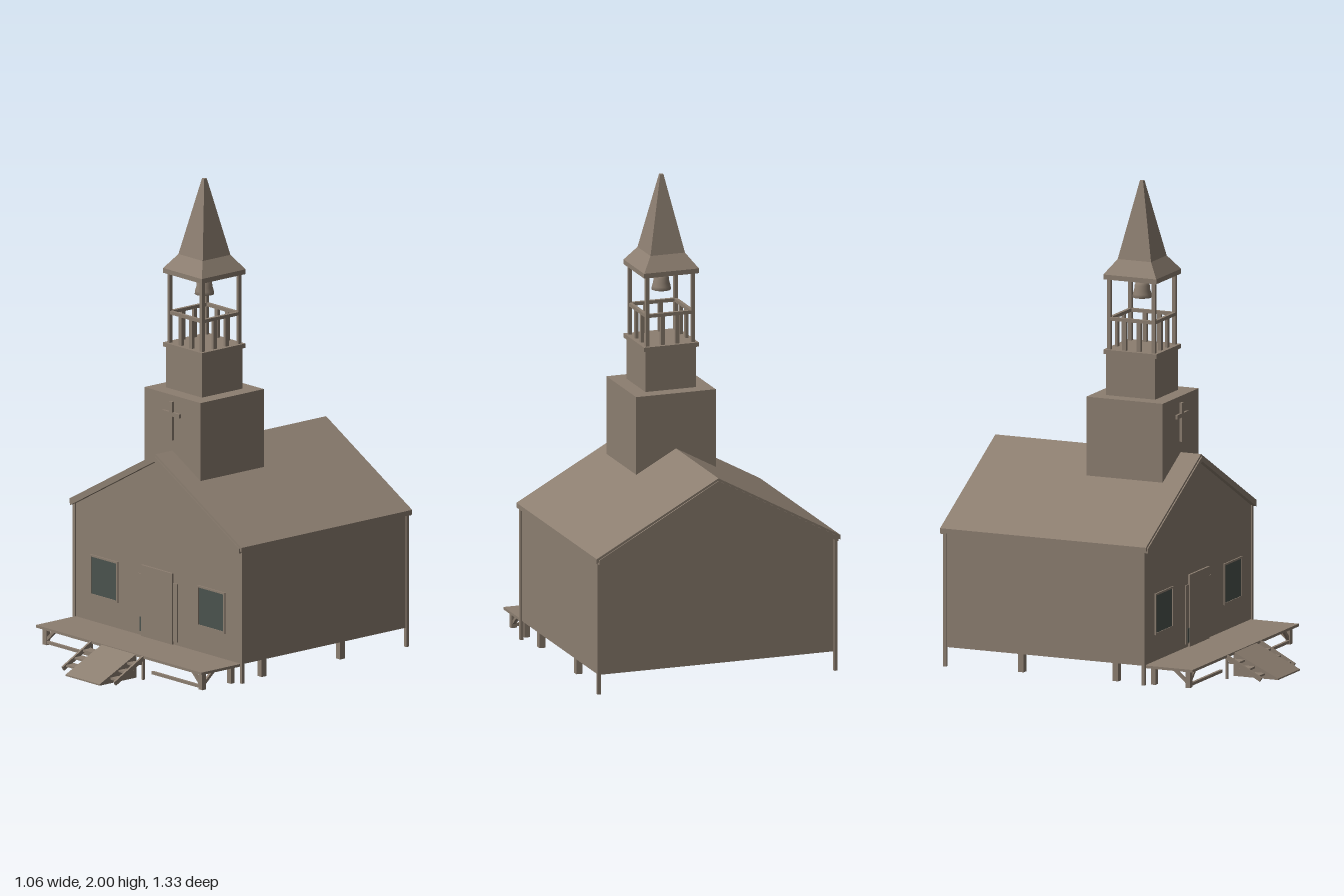
import * as THREE from 'three';

export function createModel() {
  const wood = new THREE.MeshStandardMaterial({ color: 0x8c7e70 });
  wood.name = 'weathered wood';
  const glass = new THREE.MeshStandardMaterial({ color: 0x4a524d });
  glass.name = 'dark glass';
  const model = new THREE.Group();
  model.name = 'chapel';

  const add = (name, geo, mat = wood) => {
    const m = new THREE.Mesh(geo, mat);
    m.name = name;
    model.add(m);
    return m;
  };
  // Box given by its limits on each axis
  const box = (name, x0, x1, y0, y1, z0, z1, mat) => {
    const m = add(name, new THREE.BoxGeometry(x1 - x0, y1 - y0, z1 - z0), mat);
    m.position.set((x0 + x1) / 2, (y0 + y1) / 2, (z0 + z1) / 2);
    return m;
  };
  // Square bar between two points
  const bar = (name, a, b, w, h = w) => {
    const p = new THREE.Vector3(...a), q = new THREE.Vector3(...b);
    const m = add(name, new THREE.BoxGeometry(w, h, p.distanceTo(q)));
    m.position.copy(p).add(q).multiplyScalar(0.5);
    m.lookAt(q);
    return m;
  };
  // Outline in the x-y plane, extruded from z0 to z1
  const prism = (name, pts, z0, z1) => {
    const shape = new THREE.Shape(pts.map(p => new THREE.Vector2(...p)));
    const geo = new THREE.ExtrudeGeometry(shape, { depth: z1 - z0, bevelEnabled: false });
    geo.translate(0, 0, z0);
    return add(name, geo);
  };

  // Hall with gabled ends
  prism('hall', [[-0.515, 0.1], [0.515, 0.1], [0.515, 0.575], [0, 0.86], [-0.515, 0.575]], -0.64, 0.25);

  // Roof slabs and gable trim
  const slope = [[-0.53, 0.575], [0, 0.865], [0.53, 0.575], [0.53, 0.595], [0, 0.885], [-0.53, 0.595]];
  prism('roof', slope, -0.66, 0.265);
  const trim = [[-0.52, 0.57], [0, 0.855], [0.52, 0.57], [0.52, 0.59], [0, 0.875], [-0.52, 0.59]];
  prism('frontGableTrim', trim, 0.25, 0.27);
  prism('backGableTrim', trim, -0.665, -0.64);

  // Corner posts and foundation piers
  for (const s of [-1, 1]) {
    for (const z of [-0.643, 0.248]) {
      box('cornerPost', s * 0.515 - 0.007, s * 0.515 + 0.007, 0.02, 0.58, z - 0.007, z + 0.007);
    }
    for (const z of [0.11, -0.315]) {
      box('pier', s * 0.48 - 0.013, s * 0.48 + 0.013, 0.02, 0.1, z - 0.013, z + 0.013);
    }
  }

  // Windows with thin frames
  for (const s of [-1, 1]) {
    const x = s * 0.33;
    box('window', x - 0.08, x + 0.08, 0.215, 0.375, 0.248, 0.253, glass);
    for (const d of [-1, 1]) {
      box('windowSideFrame', x + d * 0.081 - 0.004, x + d * 0.081 + 0.004, 0.21, 0.38, 0.248, 0.256);
      box('windowCrossFrame', x - 0.085, x + 0.085, 0.295 + d * 0.082 - 0.004, 0.295 + d * 0.082 + 0.004, 0.248, 0.256);
    }
  }

  // Door with side panels
  box('doorSurround', -0.122, 0.122, 0.115, 0.36, 0.248, 0.255);
  box('door', -0.095, 0.095, 0.1, 0.4, 0.248, 0.259);
  box('doorSidelight', -0.108, -0.095, 0.12, 0.18, 0.25, 0.257, glass);

  // Porch deck with legs, braces and low rails
  box('porchDeck', -0.51, 0.51, 0.09, 0.101, 0.25, 0.465);
  for (const s of [-1, 1]) {
    for (const z of [0.28, 0.435]) {
      box('porchLeg', s * 0.48 - 0.012, s * 0.48 + 0.012, 0.02, 0.092, z - 0.01, z + 0.01);
    }
    bar('porchSideBrace', [s * 0.48, 0.04, 0.43], [s * 0.48, 0.092, 0.37], 0.012);
    bar('porchFrontBrace', [s * 0.475, 0.04, 0.435], [s * 0.42, 0.092, 0.435], 0.012);
    box('porchLowRail', Math.min(s * 0.175, s * 0.48), Math.max(s * 0.175, s * 0.48), 0.025, 0.037, 0.43, 0.442);
  }

  // Steps flanking the ramp
  for (const x of [-0.172, 0.147]) {
    bar('stringer', [x, 0.092, 0.46], [x, 0.01, 0.615], 0.01, 0.018);
    box('stringerPost', x - 0.005, x + 0.005, 0, 0.09, 0.457, 0.467);
  }
  for (let i = 0; i < 3; i++) {
    const z = 0.49 + i * 0.045, y = 0.072 - i * 0.024;
    box('stepTread', -0.172, 0.147, y - 0.008, y, z - 0.022, z + 0.022);
  }

  // Ramp wedge, drawn sideways and turned to run down along +z
  const ramp = prism('ramp', [[-0.46, 0], [-0.46, 0.1], [-0.66, 0.006], [-0.66, 0]], -0.105, 0.105);
  ramp.rotation.y = Math.PI / 2;

  // Tower and belfry base
  box('towerBase', -0.173, 0.173, 0.785, 1.118, -0.17, 0.173);
  box('belfryBase', -0.11, 0.11, 1.118, 1.29, -0.11, 0.11);
  box('belfryFloor', -0.119, 0.119, 1.29, 1.308, -0.119, 0.119);

  // Cross on the tower front
  box('crossUpright', -0.009, 0.009, 0.93, 1.092, 0.172, 0.183);
  box('crossArm', -0.052, 0.052, 1.031, 1.048, 0.172, 0.183);

  // Belfry posts, rails and balusters, one side per turn
  for (let i = 0; i < 4; i++) {
    const side = new THREE.Group();
    side.name = 'belfrySide';
    side.rotation.y = i * Math.PI / 2;
    const before = model.children.length;
    box('belfryPost', -0.107, -0.092, 1.308, 1.602, 0.092, 0.107);
    box('belfryRail', -0.1, 0.1, 1.428, 1.442, 0.092, 0.106);
    for (const x of [-0.032, 0.032]) box('baluster', x - 0.009, x + 0.009, 1.308, 1.43, 0.091, 0.104);
    side.add(...model.children.slice(before));
    model.add(side);
  }

  // Bell and its hanger
  const bellProfile = [[0, 1.522], [0.033, 1.515], [0.04, 1.515], [0.038, 1.53], [0.033, 1.545],
    [0.031, 1.565], [0.024, 1.58], [0.01, 1.588], [0, 1.59]];
  add('bell', new THREE.LatheGeometry(bellProfile.map(p => new THREE.Vector2(...p)), 20));
  box('bellHanger', -0.006, 0.006, 1.585, 1.605, -0.006, 0.006);

  // Flared four-sided spire
  box('spireEave', -0.119, 0.119, 1.6, 1.62, -0.119, 0.119);
  const frustum = (name, r0, r1, y0, y1) => {
    const geo = new THREE.CylinderGeometry(r1 * Math.SQRT2, r0 * Math.SQRT2, y1 - y0, 4).toNonIndexed();
    geo.computeVertexNormals();
    geo.rotateY(Math.PI / 4);
    add(name, geo).position.y = (y0 + y1) / 2;
  };
  frustum('spireFlare', 0.119, 0.075, 1.62, 1.68);
  frustum('spire', 0.075, 0.007, 1.68, 2);

  return model;
}
